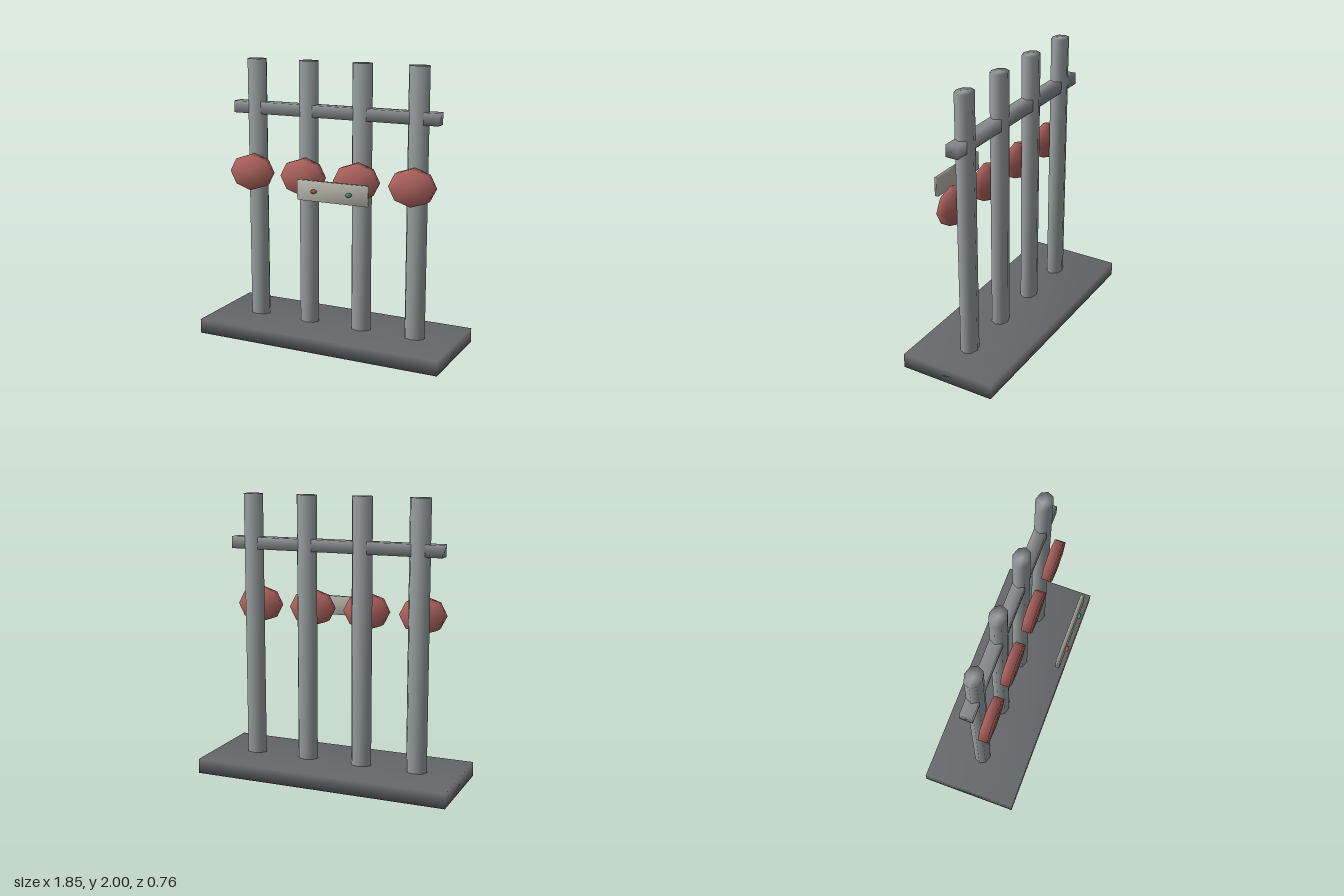
import * as THREE from 'three';
import { mergeVertices } from 'three/addons/utils/BufferGeometryUtils.js';

// Weld all corners so the shading is soft across every edge
function soften(geometry) {
  geometry.deleteAttribute('normal');
  geometry.deleteAttribute('uv');
  const welded = mergeVertices(geometry, 1e-4);
  welded.computeVertexNormals();
  return welded;
}

function addPart(parent, name, geometry, color, x, y, z) {
  const mesh = new THREE.Mesh(soften(geometry), new THREE.MeshStandardMaterial({ color }));
  mesh.name = name;
  mesh.position.set(x, y, z);
  parent.add(mesh);
  return mesh;
}

// Eight-sided oval column standing along y
const ovalPost = (rx, rz, height) =>
  new THREE.CylinderGeometry(1, 1, height, 8).scale(rx, 1, rz);

// Eight-sided oval plate facing +z
const ovalPlate = (rx, ry, depth) =>
  new THREE.CylinderGeometry(1, 1, depth, 8).rotateX(Math.PI / 2).scale(rx, ry, 1);

export function createModel() {
  const model = new THREE.Group();
  model.name = 'postRack';

  // Base slab
  addPart(model, 'base', new THREE.BoxGeometry(1.85, 0.105, 0.7), 0x66676a, 0, 0.0525, -0.029);

  // Row of posts, each with a red disc on its front
  const spacing = 0.413;
  for (let i = 0; i < 4; i++) {
    const x = -0.612 + i * spacing;
    addPart(model, 'post' + (i + 1), ovalPost(0.076, 0.06, 1.9), 0x9aa0a0, x, 1.05, -0.029);
    addPart(model, 'disc' + (i + 1), ovalPlate(0.163, 0.13, 0.068), 0xb06460, x, 1.195, 0.064);
  }

  // Crossbar through the posts
  addPart(model, 'crossbar', new THREE.BoxGeometry(1.565, 0.085, 0.088), 0x8c8e90, 0, 1.652, -0.029);

  // Control panel in front, with two buttons
  const panel = new THREE.Group();
  panel.name = 'controlPanel';
  panel.position.set(0.172, 1.171, 0.347);
  model.add(panel);
  addPart(panel, 'panelPlate', new THREE.BoxGeometry(0.516, 0.138, 0.028), 0xb8b8ac, 0, 0, 0);
  addPart(panel, 'redButton', ovalPlate(0.02, 0.014, 0.02), 0xb85a50, -0.129, 0, 0.023);
  addPart(panel, 'greenButton', ovalPlate(0.02, 0.014, 0.02), 0x4f9078, 0.129, 0, 0.023);

  return model;
}
